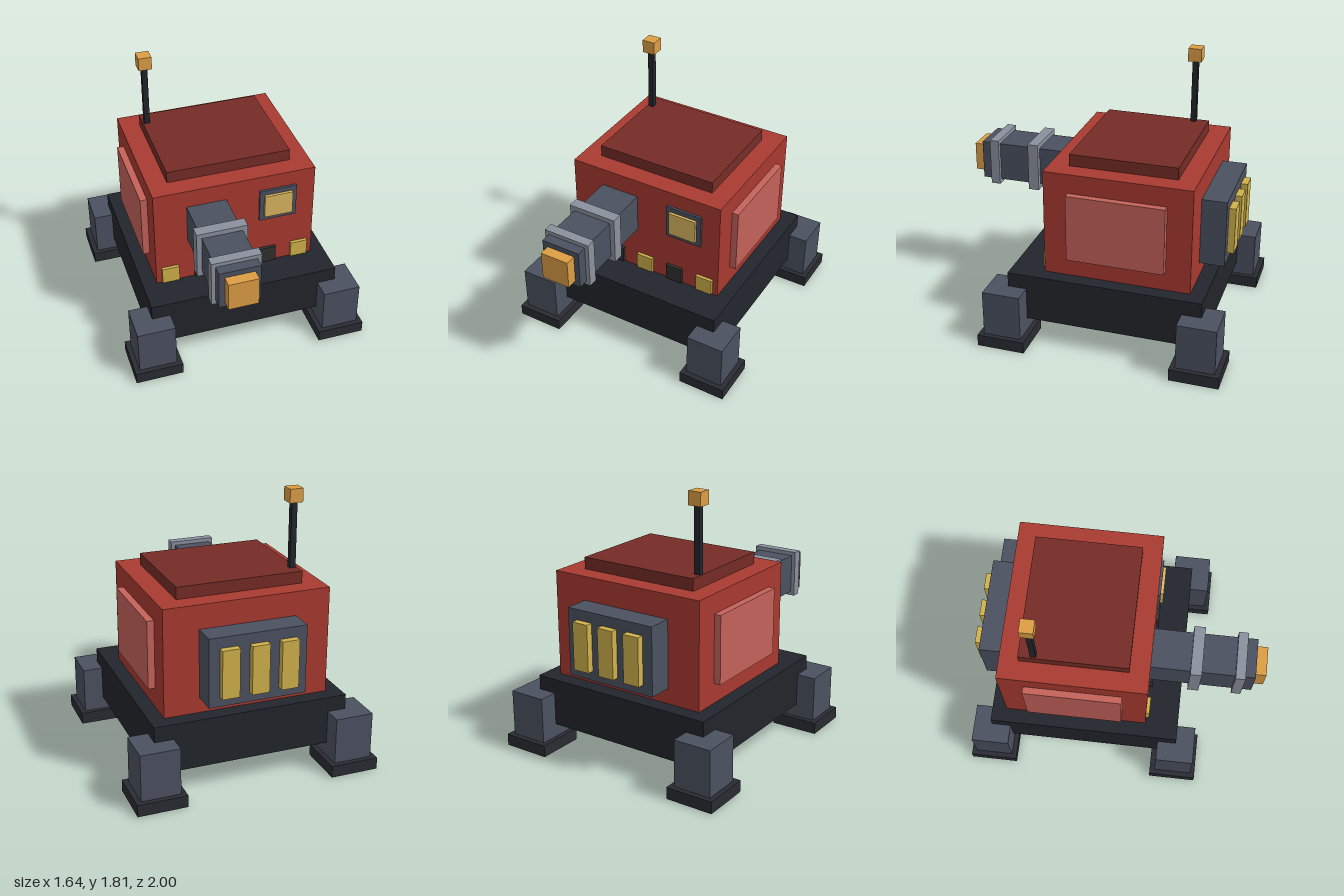
import * as THREE from 'three';

const mat = (color) => new THREE.MeshStandardMaterial({ color, flatShading: true });
const M = {
  red: mat(0xa93a30), roof: mat(0x752c26), panel: mat(0xc4625a),
  base: mat(0x22252c), steel: mat(0x4b5160), foot: mat(0x2a2c33),
  band: mat(0x8a909d), orange: mat(0xdd9e44), yellow: mat(0xd0b24c),
  pane: mat(0xdbb65f), dark: mat(0x303030),
};

export function createModel() {
  const model = new THREE.Group();
  model.name = 'turretBunker';

  // Box given by its [min, max] range on each axis
  const box = (name, material, [x0, x1], [y0, y1], [z0, z1], parent = model) => {
    const mesh = new THREE.Mesh(new THREE.BoxGeometry(x1 - x0, y1 - y0, z1 - z0), material);
    mesh.position.set((x0 + x1) / 2, (y0 + y1) / 2, (z0 + z1) / 2);
    mesh.name = name;
    parent.add(mesh);
    return mesh;
  };
  const around = (c, size) => [c - size / 2, c + size / 2];
  const group = (name) => {
    const g = new THREE.Group();
    g.name = name;
    model.add(g);
    return g;
  };

  // Hull
  box('chassis', M.base, [-0.652, 0.652], [0.168, 0.492], [-0.84, 0.467]);
  box('body', M.red, [-0.555, 0.555], [0.492, 1.21], [-0.74, 0.24]);
  box('roofHatch', M.roof, [-0.424, 0.422], [1.21, 1.29], [-0.61, 0.108]);

  // Legs with feet, and side panels
  for (const side of [-1, 1]) {
    for (const [end, z] of [['front', 0.468], ['back', -0.838]]) {
      const leg = group(end + (side > 0 ? 'LeftLeg' : 'RightLeg'));
      box('leg', M.steel, around(side * 0.655, 0.258), [0.08, 0.392], around(z, 0.258), leg);
      box('foot', M.foot, around(side * 0.655, 0.326), [0, 0.08], around(z, 0.326), leg);
    }
    box(side > 0 ? 'leftPanel' : 'rightPanel', M.panel,
      around(side * 0.575, 0.052), [0.625, 1.08], [-0.575, 0.075]);
  }

  // Cannon
  const cannon = group('cannon');
  const cx = -0.197, cy = 0.95;
  box('barrel', M.steel, around(cx, 0.27), around(cy, 0.27), [0.2, 0.928], cannon);
  box('rearBand', M.band, around(cx, 0.337), around(cy, 0.337), [0.5, 0.575], cannon);
  box('frontBand', M.band, around(cx, 0.325), around(cy, 0.325), [0.795, 0.86], cannon);
  box('muzzle', M.orange, around(cx, 0.197), around(cy, 0.197), [0.928, 1], cannon);

  // Window
  const front = group('window');
  box('windowFrame', M.steel, around(0.295, 0.258), around(0.985, 0.238), [0.23, 0.256], front);
  box('windowPane', M.pane, around(0.294, 0.195), around(0.985, 0.168), [0.24, 0.275], front);

  // Row of lamps and vents along the front
  for (let i = -2; i <= 2; i++) {
    const lit = i % 2 === 0;
    box(lit ? 'lamp' : 'frontVent', lit ? M.yellow : M.dark,
      around(i * 0.229, 0.118), [0.5, 0.616], [0.23, 0.262]);
  }

  // Rear generator with fins
  const rear = group('generator');
  box('generatorHousing', M.steel, [-0.325, 0.322], [0.595, 1.05], [-0.905, -0.73], rear);
  for (let i = -1; i <= 1; i++) {
    box('generatorFin', M.yellow, around(-0.002 + i * 0.196, 0.115), [0.66, 0.98], [-0.95, -0.89], rear);
  }

  // Antenna
  const antenna = group('antenna');
  box('antennaRod', M.base, around(-0.395, 0.038), [1.28, 1.73], around(-0.51, 0.038), antenna);
  box('antennaTip', M.orange, around(-0.395, 0.09), [1.723, 1.813], around(-0.51, 0.09), antenna);

  return model;
}
